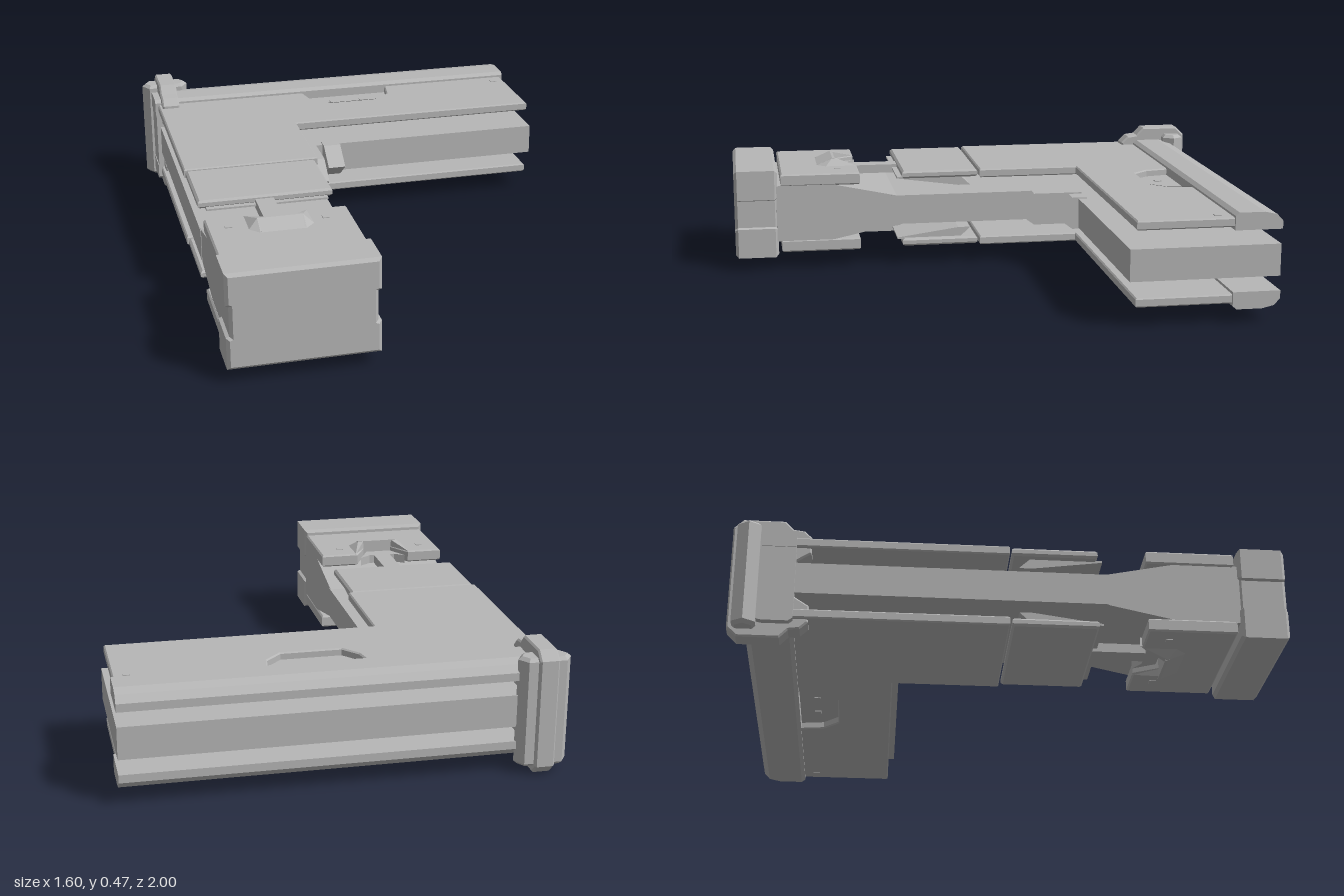
import * as THREE from 'three';
import { ConvexGeometry } from 'three/addons/geometries/ConvexGeometry.js';

const MID = 0.24; // height of the mirror plane

const toShape = (pts) => new THREE.Shape(pts.map(([a, b]) => new THREE.Vector2(a, b)));

function extrude(pts, depth, bevel) {
  return new THREE.ExtrudeGeometry(toShape(pts), {
    depth: depth - 2 * bevel, bevelEnabled: bevel > 0, bevelSize: bevel,
    bevelThickness: bevel, bevelOffset: -bevel, bevelSegments: 1,
  }).translate(0, 0, bevel);
}

// Outline in (x, z), reaching down from the height top
const slab = (pts, top, thick, bevel = 0) =>
  extrude(pts, thick, bevel).rotateX(Math.PI / 2).translate(0, top, 0);

// Profile in (z, y), running from x0 to x1
const bar = (pts, x0, x1, bevel = 0) =>
  extrude(pts, x1 - x0, bevel).rotateY(-Math.PI / 2).translate(x1, 0, 0);

const rect = (x0, x1, z0, z1) => [[x0, z0], [x1, z0], [x1, z1], [x0, z1]];

// Closes a half profile given from the top by reflecting it about MID
const closed = (half) => [...half, ...half.map(([a, y]) => [a, 2 * MID - y]).reverse()];

// Reflected copy with corner order restored
function flip(geometry) {
  const g = geometry.index ? geometry.toNonIndexed() : geometry.clone();
  const p = g.attributes.position;
  const a = new THREE.Vector3(), b = new THREE.Vector3();
  for (let i = 0; i < p.count; i++) p.setY(i, 2 * MID - p.getY(i));
  for (let i = 0; i < p.count; i += 3) {
    a.fromBufferAttribute(p, i + 1);
    b.fromBufferAttribute(p, i + 2);
    p.setXYZ(i + 1, b.x, b.y, b.z);
    p.setXYZ(i + 2, a.x, a.y, a.z);
  }
  g.computeVertexNormals();
  return g;
}

// Shallow dish: sloping walls between an outer and inner outline, plus a floor
function dish(outer, inner, top, floor) {
  const pos = [];
  const add = (...vs) => vs.forEach(([x, z, y]) => pos.push(x, y, z));
  for (let i = 0; i < outer.length - 1; i++) {
    const a = [...outer[i], top], b = [...outer[i + 1], top];
    const c = [...inner[i], floor], d = [...inner[i + 1], floor];
    add(a, b, d, a, d, c);
    if (i > 0) add([...inner[0], floor], c, d);
  }
  const g = new THREE.BufferGeometry();
  g.setAttribute('position', new THREE.Float32BufferAttribute(pos, 3));
  g.computeVertexNormals();
  return g;
}

export function createModel() {
  const group = new THREE.Group();
  const grey = new THREE.MeshStandardMaterial({ color: 0xb6b6b6 });
  grey.name = 'grey';
  const greyOpen = grey; 
  const add = (name, geometry, mat = greyOpen) => {
    const mesh = new THREE.Mesh(geometry, mat);
    mesh.name = name;
    group.add(mesh);
  };
  const addPair = (name, geometry) => {
    add(name + 'Upper', geometry);
    add(name + 'Lower', flip(geometry));
  };

  // L-shaped core between the cladding
  add('core', slab([[-0.75, -0.945], [0.8, -0.945], [0.8, -0.385], [-0.23, -0.385],
    [-0.23, 0.36], [-0.75, 0.36]], 0.3, 0.12));

  // Flared leg end and its cap
  add('flaredEnd', bar(closed([[0.34, 0.3], [0.6, 0.355], [0.83, 0.355]]), -0.748, -0.232));
  const capSide = [[-0.225, 0.42], [-0.225, 0.3], [-0.237, 0.295],
    [-0.237, 0.185], [-0.225, 0.18], [-0.225, 0.06]];
  const capPoints = [...capSide, ...capSide.map(([x, y]) => [-0.991 - x, y]).reverse()];
  add('endCap', extrude(capPoints, 0.175, 0.012).translate(0, 0, 0.825));

  // Pointed bars in the inner corner
  [[-0.22, -0.15, -0.13], [-0.12, -0.05, -0.27]].forEach(([x0, x1, tip]) =>
    add('cornerBar', bar([[tip, MID], [tip - 0.09, 0.305], [-0.42, 0.305],
      [-0.42, 0.175], [tip - 0.09, 0.175]], x0, x1)));

  // Main L-shaped cladding, cut out for the grip recess
  const recess = [[0.25, -0.775], [0.235, -0.68], [0.175, -0.62],
    [-0.05, -0.62], [-0.1, -0.68], [-0.12, -0.775]];
  const recessFloor = [[0.18, -0.775], [0.165, -0.7], [0.12, -0.66],
    [0.0, -0.66], [-0.04, -0.7], [-0.055, -0.775]];
  addPair('mainPanel', slab([[-0.755, -0.775], ...[...recess].reverse(), [0.79, -0.775],
    [0.79, -0.41], [-0.225, -0.41], [-0.225, -0.005], [-0.755, -0.005]], 0.4, 0.035, 0.005));
  addPair('gripRecess', dish(recess, recessFloor, 0.4, 0.374));
  addPair('gripBacking', slab([...recess].reverse(), 0.373, 0.008));

  // Middle leg panel with its wedge underneath
  addPair('middlePanel', slab(rect(-0.75, -0.24, 0.003, 0.315), 0.398, 0.031, 0.008));
  addPair('middleWedge', bar([[0.335, 0.372], [0.075, 0.372], [0.03, 0.33], [0.08, 0.33],
    [0.335, 0.365]], -0.72, -0.26));

  // Notched end panel, key plate and raised rim
  addPair('endPanel', slab([[-0.755, 0.49], [-0.61, 0.49], [-0.555, 0.58], [-0.435, 0.58],
    [-0.385, 0.49], [-0.23, 0.49], [-0.23, 0.812], [-0.755, 0.812]], 0.402, 0.05, 0.006));
  addPair('keyPlate', slab([[-0.535, 0.3], [-0.465, 0.3], [-0.465, 0.515], [-0.445, 0.515],
    [-0.4, 0.485], [-0.445, 0.568], [-0.55, 0.568], [-0.595, 0.485], [-0.555, 0.515],
    [-0.535, 0.515]], 0.385, 0.035));
  addPair('rim', bar([[0.67, 0.395], [0.59, 0.43], [0.58, 0.43], [0.58, 0.395]], -0.575, -0.41));
  [-1, 1].forEach((s) => {
    const corners = [[0.118, 0.4, 0.49], [0.06, 0.4, 0.58], [0.12, 0.4, 0.62],
      [0.06, 0.43, 0.585], [0.083, 0.43, 0.59], [0.083, 0.4, 0.66]];
    addPair('rimEar', new ConvexGeometry(corners.map(([x, y, z]) =>
      new THREE.Vector3(-0.495 + s * x, y, z))));
  });

  // Bevelled rail along the back edge
  addPair('backRail', bar([[-0.77, 0.355], [-0.77, 0.408], [-0.785, 0.42], [-0.88, 0.42],
    [-0.925, 0.41], [-0.948, 0.385], [-0.948, 0.355]], -0.768, 0.8));

  // Corner post, bracket and clamp that hold the layers together
  add('cornerPost', slab([[-0.802, -0.94], [-0.775, -0.982], [-0.635, -0.982], [-0.608, -0.94],
    [-0.635, -0.898], [-0.775, -0.898]], 0.445, 0.41, 0.012));
  add('cornerBracket', slab(rect(-0.765, -0.64, -0.945, -0.77), 0.4, 0.32));
  add('clamp', bar(closed([[-0.77, 0.31], [-0.717, 0.345], [-0.717, 0.41], [-0.745, 0.437],
    [-0.785, 0.442], [-0.815, 0.474], [-0.965, 0.474], [-1, 0.44]]), -0.742, -0.67, 0.006));

  // Small square fasteners
  [[0.74, -0.72, 0.4], [-0.68, 0.575, 0.402], [-0.325, 0.575, 0.402],
    [0.0, -0.7, 0.374], [0.13, -0.7, 0.374]].forEach(([x, z, y]) =>
    addPair('fastener', slab(rect(x - 0.013, x + 0.013, z - 0.013, z + 0.013), y + 0.003, 0.006)));

  return group;
}
